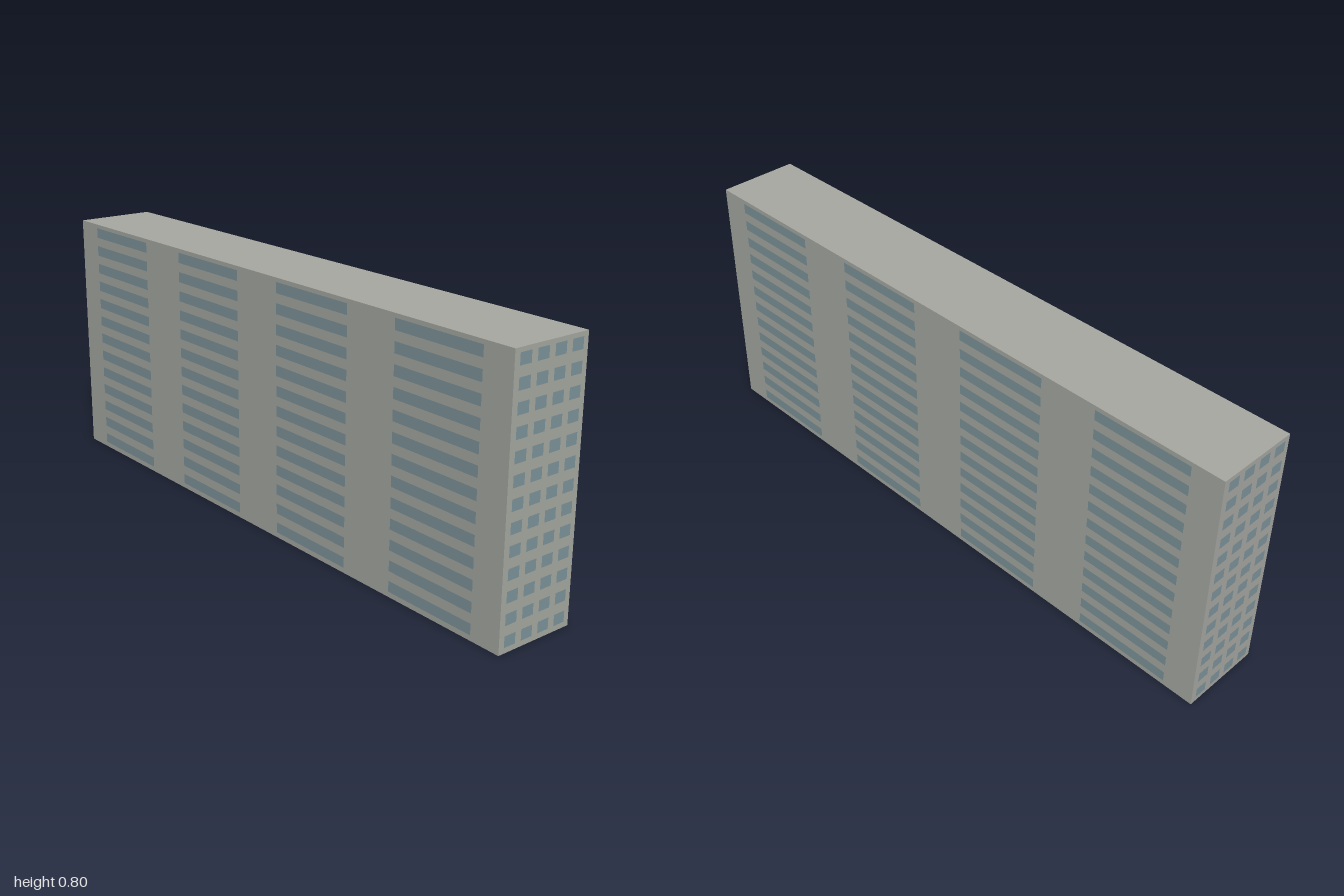
import * as THREE from 'three';
import { mergeGeometries } from 'three/addons/utils/BufferGeometryUtils.js';

const LENGTH = 1.997, DEPTH = 0.26, HEIGHT = 0.8;
const FLOORS = 13, COLUMNS = 4;
const FLOOR_HEIGHT = HEIGHT / FLOORS, WINDOW_HEIGHT = 0.0325;

export function createModel() {
  const concrete = new THREE.MeshStandardMaterial({ color: 0xa5a7a0, side: THREE.DoubleSide });
  concrete.name = 'concrete';
  const glass = new THREE.MeshStandardMaterial({ color: 0x7c939a });
  glass.name = 'glass';

  // One facade: a wall sheet with a grid of thin window panes, facing +z before turning
  function facade(name, width, distance, turn, pitch, paneWidth) {
    const side = new THREE.Group();
    side.name = name;

    const wall = new THREE.Mesh(new THREE.PlaneGeometry(width, HEIGHT), concrete);
    wall.name = name + 'Wall';
    wall.position.set(0, HEIGHT / 2, distance);

    const panes = [];
    for (let floor = 0; floor < FLOORS; floor++) {
      for (let col = 0; col < COLUMNS; col++) {
        panes.push(new THREE.PlaneGeometry(paneWidth, WINDOW_HEIGHT).translate(
          (col - (COLUMNS - 1) / 2) * pitch,
          (floor + 0.5) * FLOOR_HEIGHT + 0.002,
          distance + 0.001));
      }
    }
    const windows = new THREE.Mesh(mergeGeometries(panes), glass);
    windows.name = name + 'Windows';

    side.add(wall, windows);
    side.rotation.y = turn;
    return side;
  }

  const building = new THREE.Group();
  building.name = 'apartmentBlock';

  // Long sides with wide ribbon windows, short ends with small windows
  building.add(
    facade('front', LENGTH, DEPTH / 2, 0, 0.497, 0.31),
    facade('back', LENGTH, DEPTH / 2, Math.PI, 0.497, 0.31),
    facade('leftEnd', DEPTH, LENGTH / 2, Math.PI / 2, 0.0615, 0.04),
    facade('rightEnd', DEPTH, LENGTH / 2, -Math.PI / 2, 0.0615, 0.04));

  // Flat roof; the underside stays open
  const roof = new THREE.Mesh(new THREE.PlaneGeometry(LENGTH, DEPTH).rotateX(-Math.PI / 2), concrete);
  roof.name = 'roof';
  roof.position.y = HEIGHT;
  building.add(roof);

  // The block stands slightly turned on its plot
  building.rotation.y = 0.0105;

  const model = new THREE.Group();
  model.name = 'building';
  model.add(building);
  return model;
}
